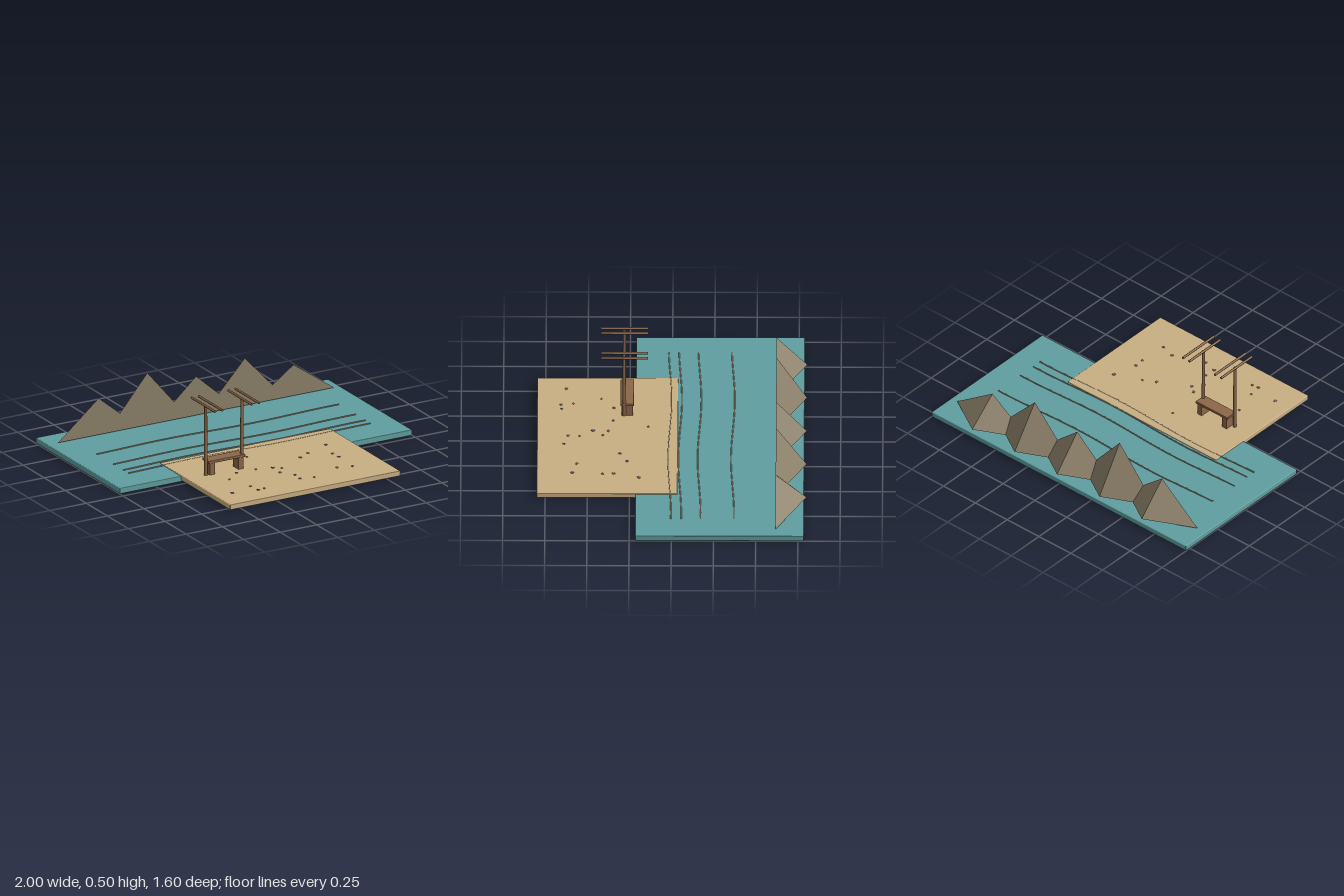
import * as THREE from 'three';
import { RoundedBoxGeometry } from 'three/addons/geometries/RoundedBoxGeometry.js';

const mat = (name, color, flatShading = false) =>
  Object.assign(new THREE.MeshStandardMaterial({ color, flatShading }), { name });

export function createModel() {
  const water = mat('water', 0x5f9ea0);
  const sand = mat('sand', 0xc8ae82);
  const rock = mat('mountain rock', 0x8c8069, true);
  const wood = mat('wood', 0x8b6748);
  const foam = mat('ripple', 0xa39684);
  const stone = mat('pebble', 0x857c70, true);

  const model = new THREE.Group();
  model.name = 'lakeShore';
  const add = (name, geometry, material, x = 0, y = 0, z = 0, parent = model) => {
    const mesh = new THREE.Mesh(geometry, material);
    mesh.name = name;
    mesh.position.set(x, y, z);
    parent.add(mesh);
    return mesh;
  };

  // Water and beach slabs, softly bevelled
  add('waterSlab', new RoundedBoxGeometry(2, 0.036, 1, 2, 0.005), water, 0, 0.018, -0.285);
  add('beachSlab', new RoundedBoxGeometry(1.165, 0.033, 0.835, 2, 0.005), sand, 0, 0.0255, 0.3825);

  // Mountains: upright front triangle leaning on one low back corner
  const mountains = new THREE.Group();
  mountains.name = 'mountains';
  model.add(mountains);
  [0.277, 0.376, 0.292, 0.345, 0.242].forEach((height, i) => {
    const L = [-0.278, 0.046, -0.617], R = [0.278, 0.046, -0.617];
    const A = [0, height, -0.617], B = [0, 0.08, -0.8];
    const geometry = new THREE.BufferGeometry();
    const corners = [L, R, A, A, B, L, A, R, B, L, B, R].flat();
    geometry.setAttribute('position', new THREE.Float32BufferAttribute(corners, 3));
    geometry.computeVertexNormals();
    add('mountain', geometry, rock, (i - 2) / 3, 0, 0, mountains);
  });

  // Ripples: thin wavy tubes
  for (const z of [-0.361, -0.163, -0.048, 0.013]) {
    const points = [];
    for (let i = 0; i <= 24; i++) {
      const x = -0.835 + (1.67 * i) / 24;
      points.push(new THREE.Vector3(x, 0.04, z - 0.01 * Math.cos((x + 0.35) * 5.5)));
    }
    add('ripple', new THREE.TubeGeometry(new THREE.CatmullRomCurve3(points), 48, 0.004, 5), foam);
  }

  // Pebbles scattered on the beach, as x, z pairs
  const spots = [
    [-0.09, 0.14], [0.42, 0.195], [0.257, 0.265], [0.18, 0.307], [-0.278, 0.345],
    [-0.15, 0.35], [-0.048, 0.377], [-0.005, 0.41], [0.38, 0.345], [0.385, 0.41],
    [-0.37, 0.42], [-0.05, 0.468], [0.005, 0.548], [0.283, 0.564], [0.374, 0.59],
    [-0.32, 0.585], [0, 0.617], [0.085, 0.64], [-0.47, 0.628], [-0.31, 0.66], [-0.267, 0.655],
  ];
  const pebble = new THREE.DodecahedronGeometry(0.01);
  spots.forEach(([x, z], i) => {
    const mesh = add('pebble', pebble, stone, x, 0.043, z);
    const s = 0.75 + 0.1 * ((i * 3) % 5);
    mesh.scale.set(s * 1.1, 0.5, s);
    mesh.rotation.y = i;
  });

  // Two posts, each topped by a pair of rails
  const frame = new THREE.Group();
  frame.name = 'postFrame';
  model.add(frame);
  const post = new THREE.CylinderGeometry(0.009, 0.011, 0.44, 10);
  const rail = new THREE.CylinderGeometry(0.0075, 0.0075, 0.28, 8).rotateX(Math.PI / 2);
  for (const x of [-0.453, -0.206]) add('post', post, wood, x, 0.26, 0.284, frame);
  for (const x of [-0.467, -0.418, -0.217, -0.167]) add('rail', rail, wood, x, 0.488, 0.282, frame);

  // Bench between the posts
  const bench = new THREE.Group();
  bench.name = 'bench';
  bench.position.set(-0.3185, 0, 0.266);
  model.add(bench);
  add('seat', new RoundedBoxGeometry(0.25, 0.017, 0.08, 2, 0.004), wood, 0, 0.124, 0, bench);
  for (const side of [-1, 1])
    add('benchLeg', new THREE.BoxGeometry(0.035, 0.078, 0.068), wood, side * 0.098, 0.079, 0, bench);

  return model;
}
